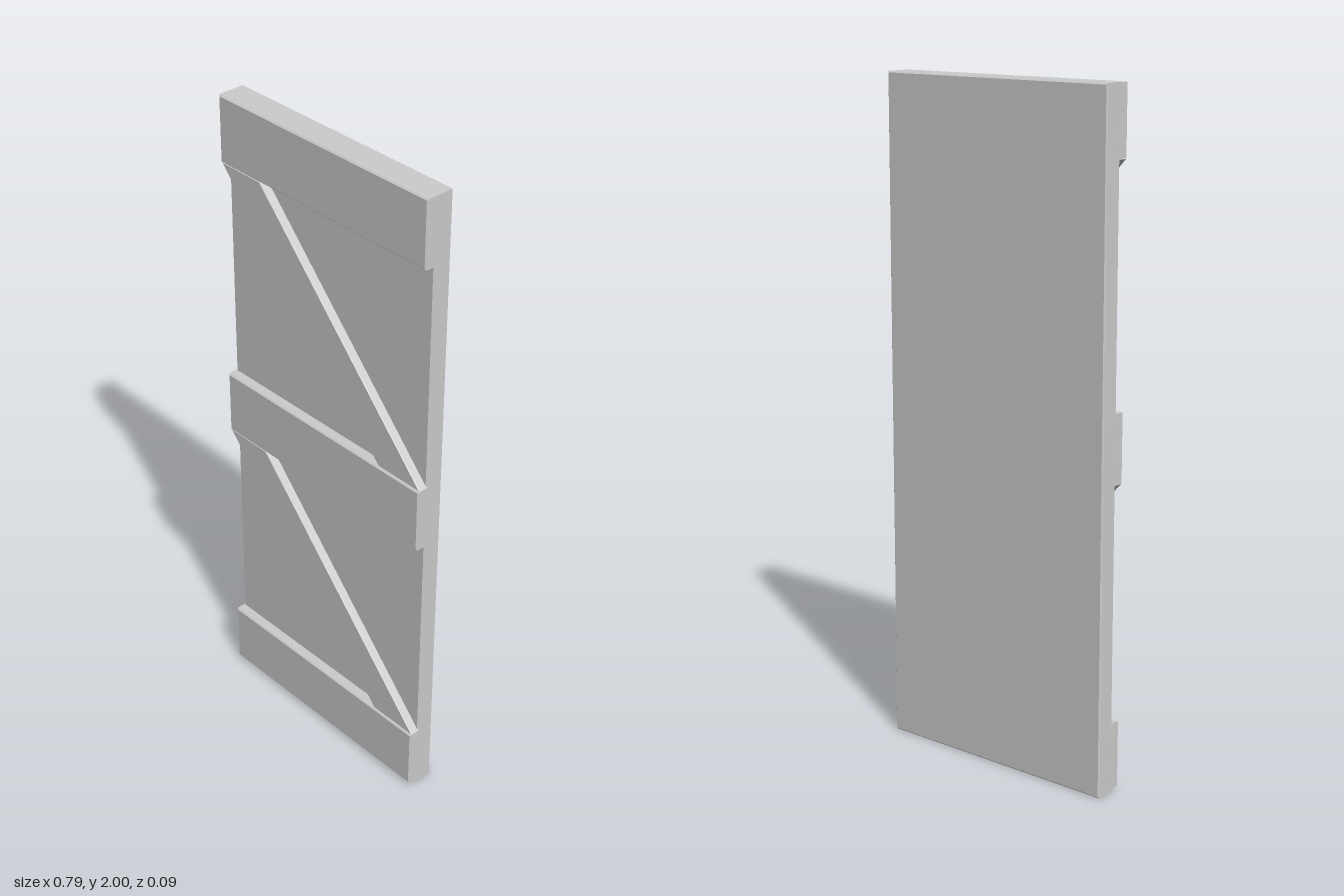
import * as THREE from 'three';

const material = new THREE.MeshStandardMaterial({ color: 0xcccccc, flatShading: true });

// Board with a front outline, running from z0 to z1, with small chamfered edges
function board(name, points, z0, z1, bevel) {
  const shape = new THREE.Shape(points.map(([x, y]) => new THREE.Vector2(x, y)));
  const geometry = new THREE.ExtrudeGeometry(shape, {
    depth: z1 - z0 - 2 * bevel,
    bevelEnabled: true,
    bevelThickness: bevel,
    bevelSize: bevel,
    bevelOffset: -bevel,
    bevelSegments: 1,
  });
  geometry.translate(0, 0, z0 + bevel);
  const mesh = new THREE.Mesh(geometry, material);
  mesh.name = name;
  return mesh;
}

const rectangle = (halfWidth, y0, y1) => [
  [-halfWidth, y0], [halfWidth, y0], [halfWidth, y1], [-halfWidth, y1],
];

export function createModel() {
  const door = new THREE.Group();
  door.name = 'door';
  const half = 0.395;

  // Main slab
  door.add(board('panel', rectangle(half, 0, 2), -0.045, 0.013, 0.004));

  // Horizontal rails across the front
  const rails = [['bottomRail', 0.012, 0.21], ['middleRail', 0.91, 1.11], ['topRail', 1.8, 2]];
  for (const [name, y0, y1] of rails) {
    door.add(board(name, rectangle(half, y0, y1), 0.006, 0.044, 0.004));
  }

  // Diagonal braces between the rails
  const braces = [['lowerBrace', 0.212, 0.908], ['upperBrace', 1.112, 1.798]];
  for (const [name, y0, y1] of braces) {
    const outline = [[0.235, y0], [half, y0], [-0.24, y1], [-half, y1]];
    door.add(board(name, outline, 0.006, 0.04, 0.002));
  }

  return door;
}
